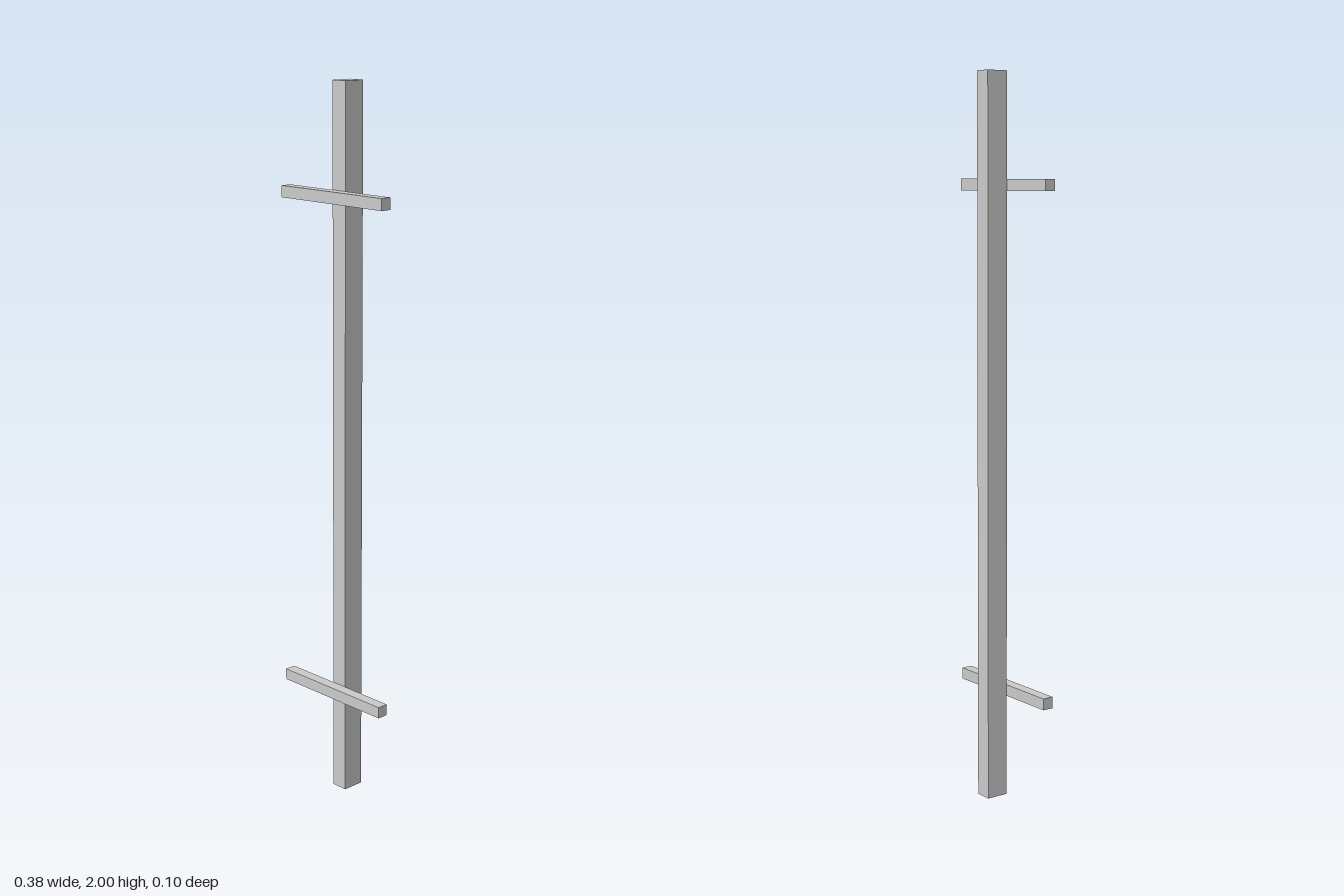
import * as THREE from 'three';

export function createModel() {
  const group = new THREE.Group();
  const material = new THREE.MeshStandardMaterial({ color: 0xcccccc, flatShading: true });

  const addBox = (name, size, position) => {
    const mesh = new THREE.Mesh(new THREE.BoxGeometry(...size), material);
    mesh.name = name;
    mesh.position.set(...position);
    group.add(mesh);
  };

  // Upright post, set behind the rails
  addBox('post', [0.048, 2, 0.064], [0, 1, -0.016]);

  // Two short cross rails fixed to the front of the post
  addBox('lowerRail', [0.381, 0.032, 0.032], [0, 0.302, 0.032]);
  addBox('upperRail', [0.381, 0.032, 0.032], [0, 1.7, 0.032]);

  return group;
}
